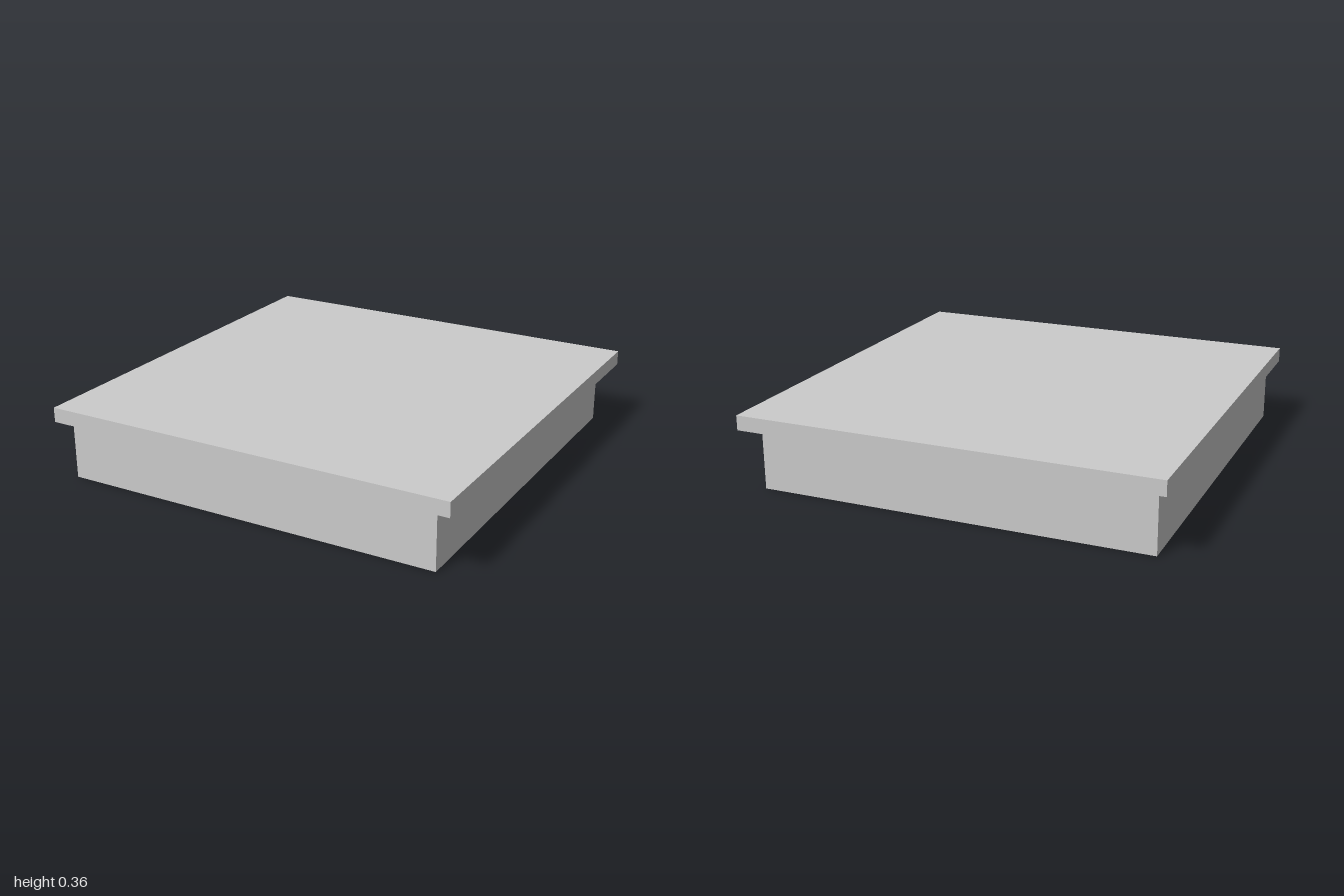
import * as THREE from 'three';

const BASE_HEIGHT = 0.29;
const TOP = 0.36;

// Closed rectangle outline, given by its limits
function rectangle(Type, x0, x1, z0, z1) {
  const path = new Type();
  path.moveTo(x0, z0);
  path.lineTo(x1, z0);
  path.lineTo(x1, z1);
  path.lineTo(x0, z1);
  path.closePath();
  return path;
}

export function createModel() {
  const group = new THREE.Group();
  const material = new THREE.MeshStandardMaterial({ color: 0xcccccc, flatShading: true });

  // Overhanging flat lid
  const lid = new THREE.Mesh(new THREE.BoxGeometry(1.986, TOP - BASE_HEIGHT, 2), material);
  lid.name = 'lid';
  lid.position.y = (TOP + BASE_HEIGHT) / 2;
  group.add(lid);

  // Square frame under the lid, open below and set slightly off centre in x
  const outline = rectangle(THREE.Shape, -0.943, 0.908, -0.935, 0.935);
  outline.holes.push(rectangle(THREE.Path, -0.725, 0.677, -0.72, 0.72));
  const frameGeometry = new THREE.ExtrudeGeometry(outline, { depth: BASE_HEIGHT, bevelEnabled: false });
  frameGeometry.rotateX(-Math.PI / 2);
  const frame = new THREE.Mesh(frameGeometry, material);
  frame.name = 'baseFrame';
  group.add(frame);

  return group;
}
